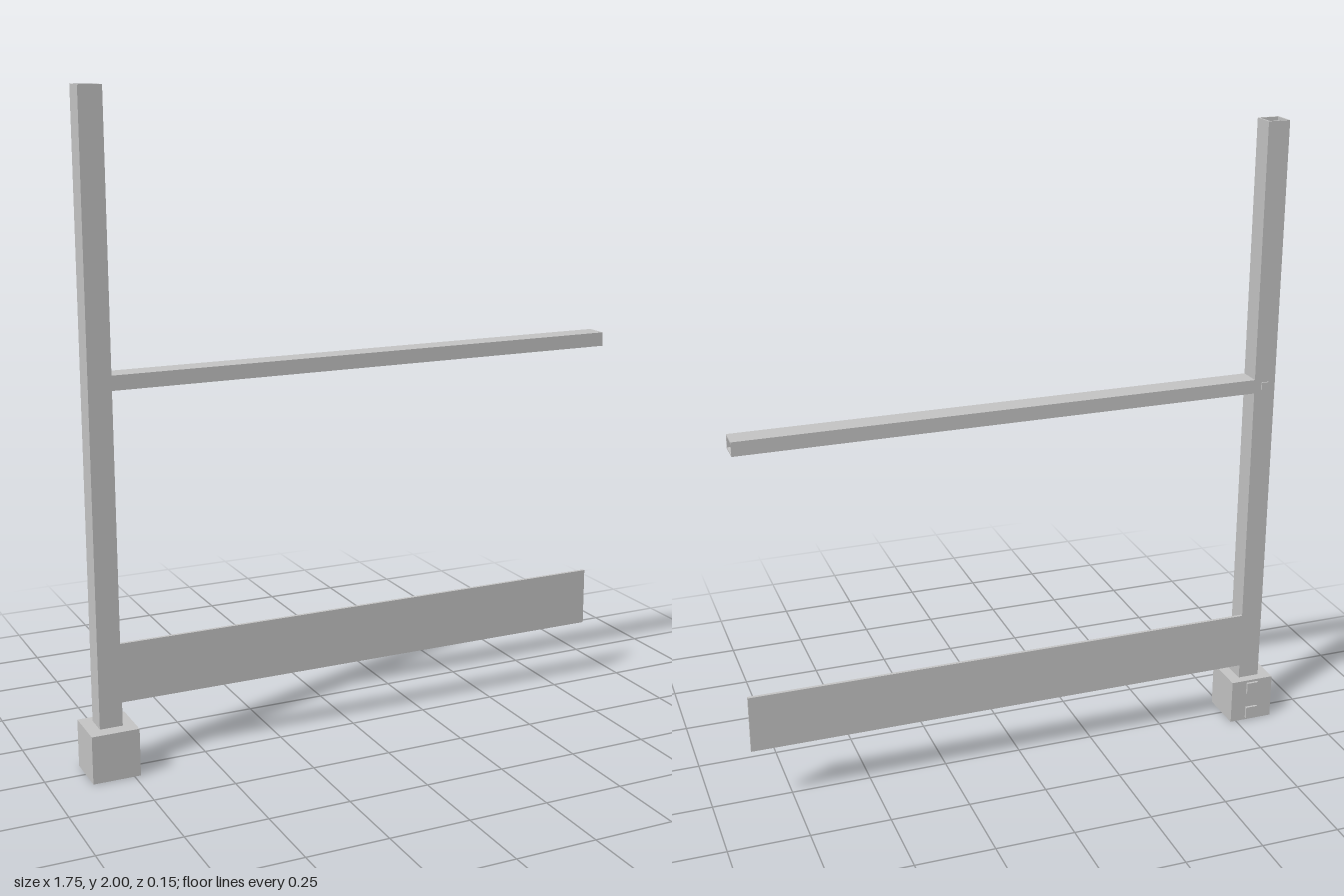
import * as THREE from 'three';

const steel = new THREE.MeshStandardMaterial({ color: 0xc6c6c6 });
steel.name = 'light grey steel';

// Hollow rectangular tube, extruded along +z
function tube(w, h, length, wall) {
  const rect = (Type, a, b) => new Type([
    new THREE.Vector2(-a, -b), new THREE.Vector2(a, -b),
    new THREE.Vector2(a, b), new THREE.Vector2(-a, b),
  ]);
  const shape = rect(THREE.Shape, w / 2, h / 2);
  shape.holes.push(rect(THREE.Path, w / 2 - wall, h / 2 - wall));
  return new THREE.ExtrudeGeometry(shape, { depth: length, bevelEnabled: false });
}

export function createModel() {
  const group = new THREE.Group();
  const add = (name, geometry, x, y, z) => {
    const mesh = new THREE.Mesh(geometry, steel);
    mesh.name = name;
    mesh.position.set(x, y, z);
    group.add(mesh);
  };
  const box = (name, x0, x1, y0, y1, z0, z1) => add(name,
    new THREE.BoxGeometry(x1 - x0, y1 - y0, z1 - z0),
    (x0 + x1) / 2, (y0 + y1) / 2, (z0 + z1) / 2);

  const postX = -0.803, start = -0.838, end = 0.876;
  const tubeZ = -0.003, back = -0.039, baseBack = -0.068;

  // Footing block and the upright standing on it
  box('base', -0.876, -0.731, 0, 0.147, baseBack, 0.077);
  add('post', tube(0.07, 0.072, 1.853, 0.006).rotateX(-Math.PI / 2), postX, 0.147, tubeZ);

  // Hollow rail, open at its free end
  add('rail', tube(0.072, 0.044, end - start, 0.005).rotateY(Math.PI / 2), start, 1.175, tubeZ);

  // Flat board along the back of the post
  box('toeBoard', start, end, 0.193, 0.377, back, back + 0.01);

  // Small square fixings on the back faces
  box('railFixing', postX - 0.012, postX + 0.012, 1.163, 1.187, back - 0.005, back);
  for (const y of [0.028, 0.119]) {
    box('baseFixing', postX - 0.02, postX + 0.02, y - 0.02, y + 0.02, baseBack - 0.008, baseBack);
  }
  return group;
}
